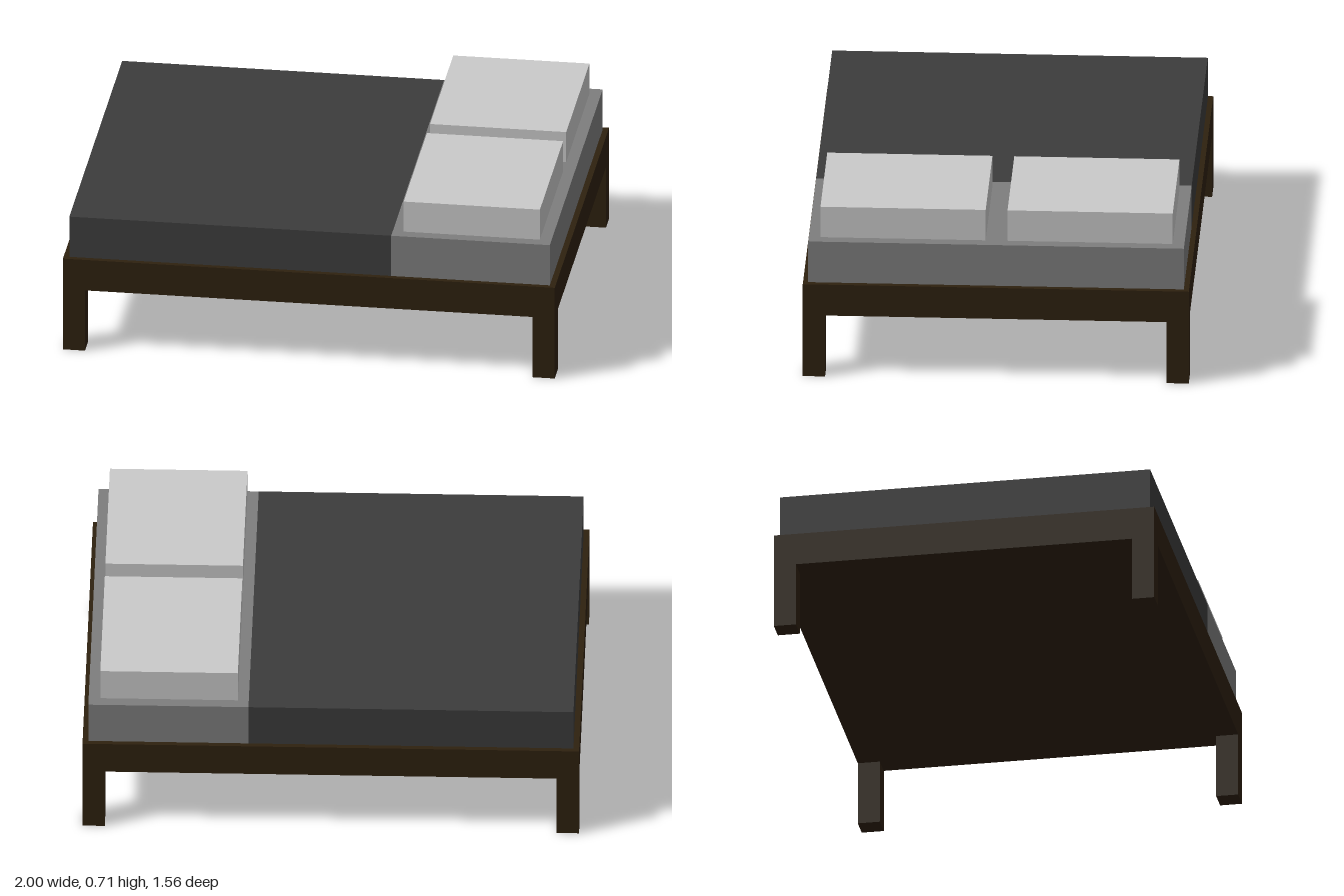
import * as THREE from 'three';

const material = (name, color) => {
  const m = new THREE.MeshStandardMaterial({ color });
  m.name = name;
  return m;
};

export function createModel() {
  const bed = new THREE.Group();
  bed.name = 'bed';

  const wood = material('dark wood', 0x2e210f);
  const blanketCloth = material('charcoal blanket', 0x3c3c3c);
  const sheetCloth = material('grey sheet', 0x7e7e7e);
  const pillowCloth = material('pale pillow', 0xcacaca);

  // Box given by its extents along each axis
  const addBox = (name, mat, [x0, x1], [y0, y1], [z0, z1]) => {
    const mesh = new THREE.Mesh(new THREE.BoxGeometry(x1 - x0, y1 - y0, z1 - z0), mat);
    mesh.position.set((x0 + x1) / 2, (y0 + y1) / 2, (z0 + z1) / 2);
    mesh.name = name;
    bed.add(mesh);
  };

  const W = 1, D = 0.778, LEG = 0.09;
  const FRAME_BOTTOM = 0.267, FRAME_TOP = 0.402, BED_TOP = 0.58, PILLOW_TOP = 0.713;
  const SEAM = 0.332;

  // Solid frame
  addBox('frame', wood, [-W, W], [FRAME_BOTTOM, FRAME_TOP], [-D, D]);

  // Square legs flush with the frame corners
  for (const sx of [-1, 1]) {
    for (const sz of [-1, 1]) {
      const x = sx * (W - LEG / 2), z = sz * (D - LEG / 2), h = LEG / 2;
      addBox('leg', wood, [x - h, x + h], [0, FRAME_BOTTOM], [z - h, z + h]);
    }
  }

  // Blanket over the foot end, bare sheet at the head end
  addBox('blanket', blanketCloth, [-0.977, SEAM], [FRAME_TOP, BED_TOP], [-0.757, 0.757]);
  addBox('mattress', sheetCloth, [SEAM, 0.977], [FRAME_TOP, BED_TOP], [-0.757, 0.757]);

  // Pair of pillows
  addBox('backPillow', pillowCloth, [0.376, 0.93], [BED_TOP, PILLOW_TOP], [-0.71, -0.044]);
  addBox('frontPillow', pillowCloth, [0.376, 0.93], [BED_TOP, PILLOW_TOP], [0.044, 0.71]);

  return bed;
}
